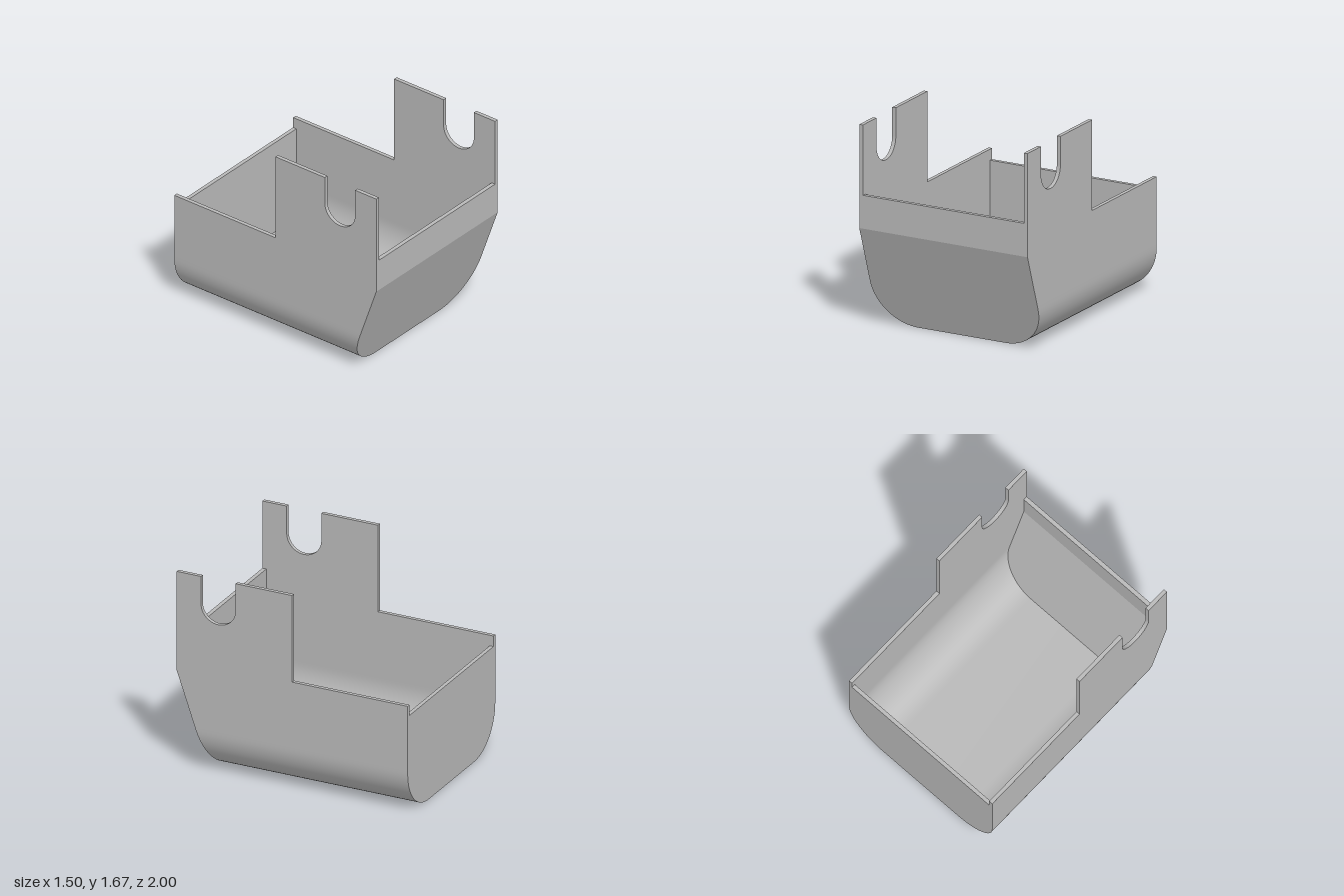
import * as THREE from 'three';
import { toCreasedNormals } from 'three/addons/utils/BufferGeometryUtils.js';

const W = 0.75;       // half width
const T = 0.032;      // wall thickness
const R = 0.36;       // outer radius of the bottom corners
const BEND = 0.83;    // height where the sloping front turns vertical
const TOP = 1.67, LOW = 0.935, FRONT_TOP = 1.1, BACK_TOP = 0.845;

// z of the outer front surface at height y
const frontZ = (y) => Math.min(1, 0.71 + (0.29 * y) / BEND);

// U-shaped outline, left arm down, across the bottom, right arm up
function uPoints(inset, top) {
  const pts = [new THREE.Vector2(-W + inset, top)];
  const r = R - inset, n = 18;
  for (const side of [-1, 1]) {
    for (let i = 0; i <= n; i++) {
      const a = (side < 0 ? Math.PI : 1.5 * Math.PI) + (i / n) * Math.PI / 2;
      pts.push(new THREE.Vector2(side * (W - R) + r * Math.cos(a), R + r * Math.sin(a)));
    }
  }
  pts.push(new THREE.Vector2(W - inset, top));
  return pts;
}

// Extrude an outline, then place its rear and front ends by a rule of height
function slab(shape, backZ, endZ) {
  const g = new THREE.ExtrudeGeometry(shape, { depth: 1, bevelEnabled: false });
  const p = g.attributes.position;
  for (let i = 0; i < p.count; i++) {
    p.setZ(i, p.getZ(i) < 0.5 ? backZ(p.getY(i)) : endZ(p.getY(i)));
  }
  return toCreasedNormals(g, 0.3);
}

export function createModel() {
  const group = new THREE.Group();
  const grey = new THREE.MeshStandardMaterial({ color: 0xb8b8b8 });
  grey.name = 'grey';
  const add = (name, geometry) => {
    const mesh = new THREE.Mesh(geometry, grey);
    mesh.name = name;
    group.add(mesh);
    return mesh;
  };

  // Rounded floor trough, cut at the front along the slope
  const seam = R + 0.03;
  const trough = new THREE.Shape([...uPoints(0, seam), ...uPoints(T, seam).reverse()]);
  add('floorTrough', slab(trough, () => -1, frontZ));

  // Side walls with a raised front half and a round-bottomed notch (shape x = -z)
  const wall = new THREE.Shape();
  wall.moveTo(-frontZ(seam), seam);
  wall.lineTo(1, seam);
  wall.lineTo(1, LOW);
  wall.lineTo(0, LOW);
  wall.lineTo(0, TOP);
  wall.lineTo(-0.49, TOP);
  wall.lineTo(-0.49, 1.44);
  wall.absarc(-0.64, 1.44, 0.15, 0, -Math.PI, true);
  wall.lineTo(-0.79, TOP);
  wall.lineTo(-1, TOP);
  wall.lineTo(-1, BEND);
  const wallGeometry = toCreasedNormals(
    new THREE.ExtrudeGeometry(wall, { depth: T, bevelEnabled: false, curveSegments: 28 })
      .rotateY(Math.PI / 2), 0.3);
  add('rightWall', wallGeometry).position.x = -W;
  add('leftWall', wallGeometry).position.x = W - T;

  // Front: sloping lower panel and upright upper panel
  add('frontSlope', slab(new THREE.Shape(uPoints(T, BEND)), (y) => frontZ(y) - 0.034, frontZ));
  const upper = new THREE.BoxGeometry(2 * (W - T), FRONT_TOP - BEND, 0.034);
  add('frontPanel', upper).position.set(0, (FRONT_TOP + BEND) / 2, 1 - 0.017);

  // Back panel, slightly lower than the sides
  add('backPanel', slab(new THREE.Shape(uPoints(T, BACK_TOP)), () => -1, () => -1 + T));

  return group;
}
